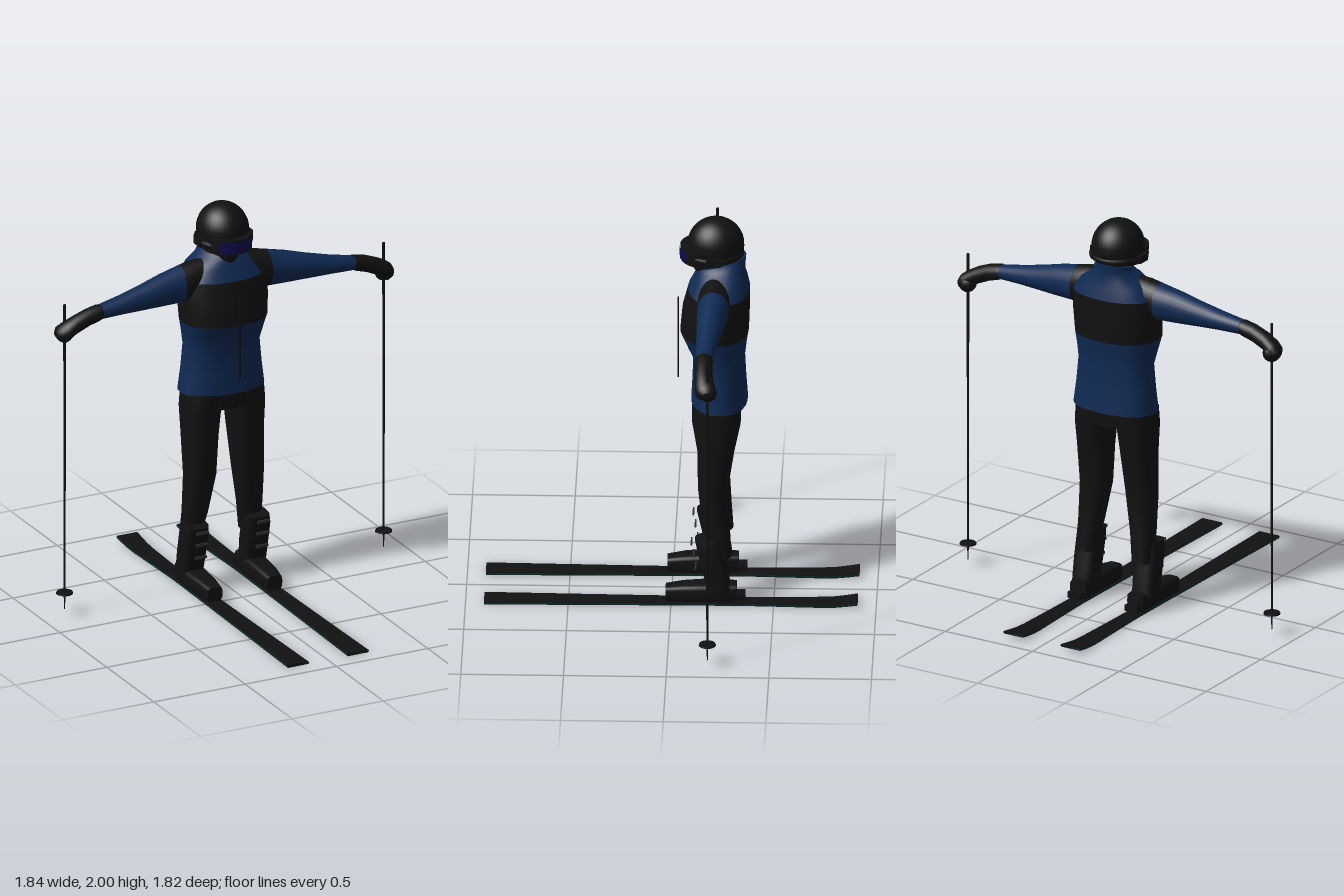
import * as THREE from 'three';

const mat = (name, hex) => Object.assign(new THREE.MeshStandardMaterial({ color: hex }), { name });

// Skin through cross-sections [along, c1, c2, r1, r2, tilt]; (c1, along, c2) is a cyclic order of x, y, z.
function loft(axis, sections, power = 2, n = 24) {
  const pos = [], idx = [];
  const push = (a, c1, c2) => {
    if (axis === 'y') pos.push(c1, a, c2);
    else if (axis === 'z') pos.push(c2, c1, a);
    else pos.push(a, c2, c1);
  };
  const bend = (v) => Math.sign(v) * Math.pow(Math.abs(v), 2 / power);
  const ring = ([a, c1, c2, r1, r2, tilt = 0]) => {
    const start = pos.length / 3;
    for (let j = 0; j < n; j++) {
      const t = (j / n) * Math.PI * 2, d = r2 * bend(Math.cos(t));
      push(a + tilt * d, c1 + r1 * bend(Math.sin(t)), c2 + d);
    }
    return start;
  };
  const starts = sections.map(ring);
  for (let i = 0; i + 1 < starts.length; i++) {
    for (let j = 0; j < n; j++) {
      const k = (j + 1) % n, a = starts[i], b = starts[i + 1];
      idx.push(a + j, a + k, b + k, a + j, b + k, b + j);
    }
  }
  // End caps with their own vertices keep the rims sharp
  [sections[0], sections[sections.length - 1]].forEach((s, end) => {
    const r = ring(s), c = pos.length / 3;
    push(s[0], s[1], s[2]);
    for (let j = 0; j < n; j++) {
      const k = (j + 1) % n;
      if (end) idx.push(c, r + j, r + k);
      else idx.push(c, r + k, r + j);
    }
  });
  const g = new THREE.BufferGeometry();
  g.setAttribute('position', new THREE.Float32BufferAttribute(pos, 3));
  g.setIndex(idx);
  g.computeVertexNormals();
  return g;
}

const box = (w, h, d, x, y, z) => new THREE.BoxGeometry(w, h, d).translate(x, y, z);
const rod = (r0, r1, y0, y1, x, z, n = 10) =>
  new THREE.CylinderGeometry(r1, r0, y1 - y0, n).translate(x, (y0 + y1) / 2, z);

// Copy a geometry to the other side, turning its faces round
function mirrored(geo) {
  const g = geo.clone().scale(-1, 1, 1), ix = g.index.array;
  for (let i = 0; i < ix.length; i += 3) [ix[i + 1], ix[i + 2]] = [ix[i + 2], ix[i + 1]];
  g.computeVertexNormals();
  return g;
}

// Long plate with a narrow waist and an upturned rear end
function skiPlate(y0, y1, extra) {
  const g = new THREE.BoxGeometry(2, y1 - y0, 1.82, 1, 1, 32);
  const p = g.attributes.position;
  for (let i = 0; i < p.count; i++) {
    const z = p.getZ(i), d = z + 0.35;
    const half = 0.037 + 0.019 * Math.pow(Math.abs(d) / (d > 0 ? 1.26 : 0.6), 1.2) + extra;
    const rise = z < -0.76 ? 0.018 * Math.pow((-0.76 - z) / 0.15, 1.4) : 0;
    p.setXY(i, 0.164 + p.getX(i) * half, p.getY(i) + (y0 + y1) / 2 + rise);
  }
  g.computeVertexNormals();
  return g;
}

export function createModel() {
  const model = new THREE.Group();
  model.name = 'skier';
  const blue = mat('jacket blue', 0x0f2a54);
  const black = mat('black', 0x111111);
  const navy = mat('lens navy', 0x100a50);
  const teal = mat('edge teal', 0x0a2b2a);
  const grey = mat('buckle grey', 0x333333);

  const add = (name, geo, material) => {
    const m = new THREE.Mesh(geo, material);
    m.name = name;
    model.add(m);
  };
  const pair = (name, geo, material) => {
    add('left ' + name, geo, material);
    add('right ' + name, mirrored(geo), material);
  };

  // Jacket body: blue skirt, black chest band, blue yoke with collar
  const bandLow = [1.41, 0, -0.208, 0.22, 0.167], bandHigh = [1.63, 0, -0.23, 0.222, 0.15];
  add('jacket skirt', loft('y', [
    [1.035, 0, -0.232, 0.222, 0.138], [1.15, 0, -0.231, 0.207, 0.131],
    [1.27, 0, -0.23, 0.196, 0.126], [1.34, 0, -0.218, 0.207, 0.146], bandLow], 2.3, 32), blue);
  add('chest band', loft('y', [bandLow, [1.52, 0, -0.215, 0.228, 0.164], bandHigh], 2.3, 32), black);
  add('yoke and collar', loft('y', [
    bandHigh, [1.69, 0, -0.238, 0.18, 0.13], [1.725, 0, -0.24, 0.13, 0.118],
    [1.75, 0, -0.243, 0.095, 0.115, -0.15], [1.775, 0, -0.247, 0.085, 0.115, -0.3]], 2.2, 32), blue);
  add('zip', box(0.008, 0.43, 0.008, 0, 1.355, -0.03), black);

  // Arms: black shoulder, blue sleeve, black glove
  const armhole = [0.235, -0.207, 1.617, 0.078, 0.093], cuff = [0.69, -0.175, 1.567, 0.042, 0.036];
  pair('shoulder', loft('x', [
    [0.1, -0.21, 1.645, 0.07, 0.085], [0.17, -0.21, 1.632, 0.08, 0.092], armhole]), black);
  pair('sleeve', loft('x', [armhole, [0.34, -0.2, 1.606, 0.069, 0.081],
    [0.45, -0.191, 1.592, 0.06, 0.064], [0.57, -0.182, 1.579, 0.05, 0.048], cuff]), blue);
  pair('glove', loft('x', [cuff, [0.7, -0.175, 1.565, 0.044, 0.04], [0.76, -0.175, 1.55, 0.043, 0.043],
    [0.83, -0.178, 1.521, 0.046, 0.045], [0.88, -0.187, 1.489, 0.052, 0.05],
    [0.905, -0.195, 1.484, 0.045, 0.036], [0.919, -0.198, 1.482, 0.022, 0.016]]), black);
  pair('fist', new THREE.SphereGeometry(0.044, 16, 12).translate(0.873, 1.477, -0.2), black);

  // Trousers
  add('hips', loft('y', [[0.955, 0, -0.22, 0.205, 0.117], [1.06, 0, -0.225, 0.2, 0.122]], 2.4, 32), black);
  pair('trouser leg', loft('y', [
    [0.255, 0.162, -0.25, 0.052, 0.045], [0.4, 0.149, -0.22, 0.061, 0.066],
    [0.6, 0.131, -0.203, 0.08, 0.073], [0.8, 0.124, -0.217, 0.089, 0.09],
    [0.95, 0.12, -0.22, 0.095, 0.118], [1.04, 0.108, -0.22, 0.1, 0.12]], 2.3), black);

  // Ski boots with buckles
  pair('boot cuff', loft('y', [
    [0.08, 0.172, -0.235, 0.062, 0.058], [0.2, 0.17, -0.212, 0.065, 0.064],
    [0.3, 0.17, -0.19, 0.065, 0.064], [0.352, 0.166, -0.182, 0.058, 0.066, -0.1]], 3), black);
  pair('boot foot', loft('z', [
    [-0.32, 0.067, 0.164, 0.043, 0.045], [-0.2, 0.068, 0.167, 0.047, 0.06],
    [-0.06, 0.062, 0.165, 0.043, 0.052], [0.026, 0.055, 0.164, 0.036, 0.04]], 4), black);
  [[0.33, -0.1], [0.265, -0.11], [0.195, -0.12]].forEach(([y, z], i) =>
    pair('boot buckle ' + (i + 1), box(0.065, 0.014, 0.008, 0.168, y, z), grey));
  pair('heel binding', box(0.07, 0.03, 0.05, 0.164, 0.042, -0.337), black);
  pair('binding plate', box(0.066, 0.014, 0.34, 0.164, 0.018, -0.15), black);

  // Skis with coloured edges
  pair('ski', skiPlate(0, 0.014, 0), black);
  pair('ski edge', skiPlate(0.003, 0.011, 0.003), teal);

  // Poles
  pair('pole shaft', rod(0.005, 0.007, 0.1, 1.63, 0.873, -0.197), black);
  pair('pole tip', rod(0.002, 0.005, 0.03, 0.11, 0.873, -0.197), black);
  pair('pole basket', rod(0.042, 0.04, 0.112, 0.12, 0.873, -0.197, 20), black);

  // Head: covered face, helmet, strap and goggles
  add('face', new THREE.SphereGeometry(1, 24, 16).scale(0.062, 0.105, 0.1).translate(0, 1.79, -0.19), black);
  const dome = [[0, 1.795], [0.11, 1.795], [0.124, 1.815], [0.128, 1.855]].map((p) => new THREE.Vector2(...p));
  for (let i = 1; i <= 10; i++) {
    const t = (i / 10) * Math.PI / 2;
    dome.push(new THREE.Vector2(Math.max(0, 0.128 * Math.cos(t)), 1.865 + 0.135 * Math.sin(t)));
  }
  add('helmet', new THREE.LatheGeometry(dome, 32).scale(1, 1, 1.08).translate(0, 0, -0.214), black);
  const strap = new THREE.TorusGeometry(0.137, 0.008, 8, 36).rotateX(Math.PI / 2);
  add('goggle strap', strap.scale(1, 2, 1.02).translate(0, 1.822, -0.205), black);
  pair('ear pad', box(0.03, 0.04, 0.07, 0.13, 1.822, -0.205), black);
  add('goggle frame', new THREE.CylinderGeometry(0.125, 0.122, 0.075, 32).translate(0, 1.823, -0.165), black);
  const lens = new THREE.CylinderGeometry(0.13, 0.127, 0.06, 20, 1, true, -0.76, 1.52);
  add('goggle lens', lens.translate(0, 1.825, -0.165), navy);

  return model;
}
